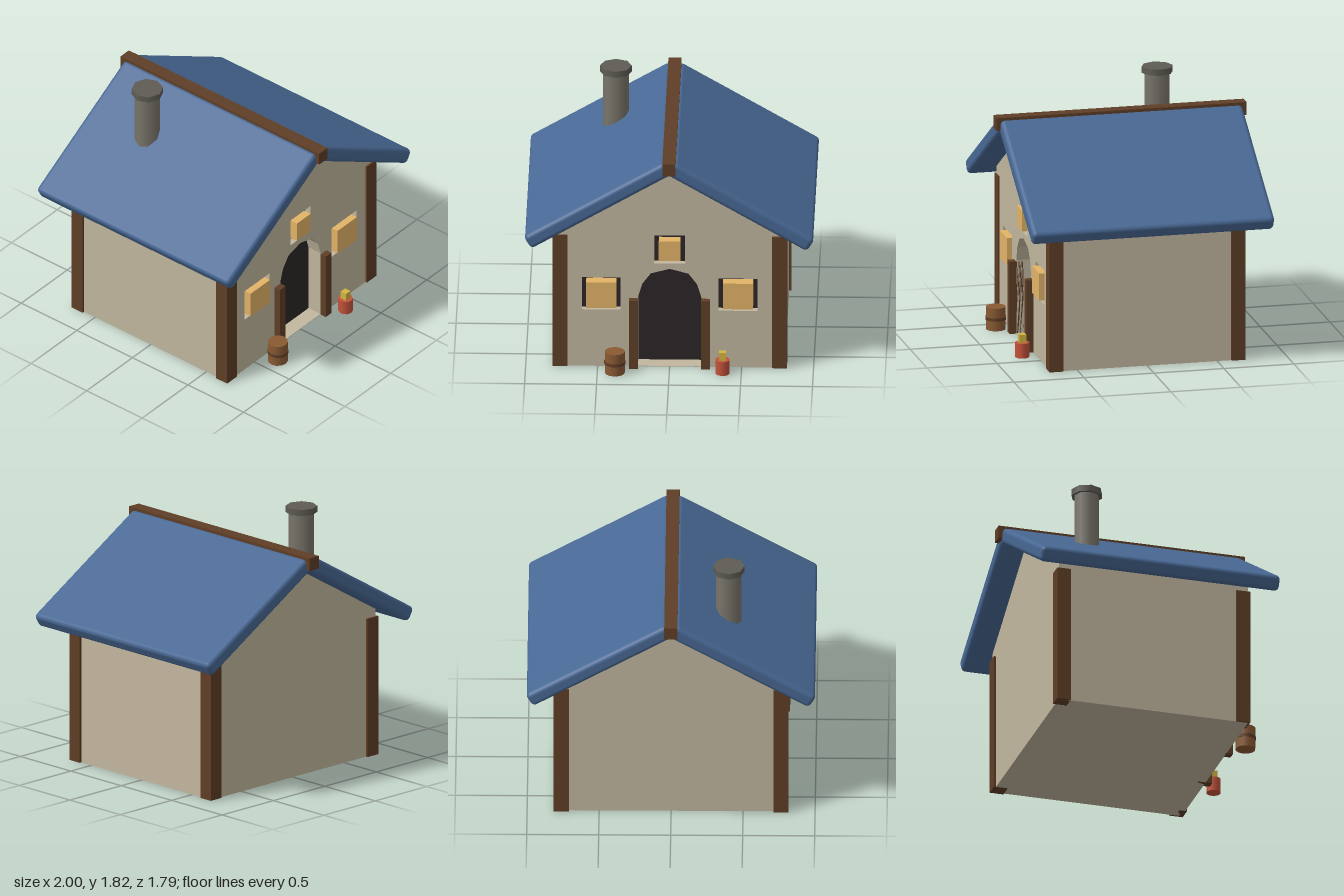
import * as THREE from 'three';
import { RoundedBoxGeometry } from 'three/addons/geometries/RoundedBoxGeometry.js';

const mat = (color, flatShading = false) => new THREE.MeshStandardMaterial({ color, flatShading });
const plaster = mat(0xc2b79f);
const timber = mat(0x5f3e26);
const roofBlue = mat(0x486894);
const dark = mat(0x2b2526);
const glow = mat(0xe3b467);
const stone = mat(0x79756b);
const capStone = mat(0x5f5c55);
const wood = mat(0x8a5a33);
const red = mat(0xc4523a);
const yellow = mat(0xd4b440);

export function createModel() {
  const house = new THREE.Group();
  house.name = 'house';

  const add = (name, geometry, material, x = 0, y = 0, z = 0) => {
    const mesh = new THREE.Mesh(geometry, material);
    mesh.name = name;
    mesh.position.set(x, y, z);
    house.add(mesh);
    return mesh;
  };
  // Box given by its limits on each axis
  const box = (name, material, [x0, x1], [y0, y1], [z0, z1]) =>
    add(name, new THREE.BoxGeometry(x1 - x0, y1 - y0, z1 - z0), material,
      (x0 + x1) / 2, (y0 + y1) / 2, (z0 + z1) / 2);
  const cylinder = (name, material, r, y0, y1, x, z, sides) =>
    add(name, new THREE.CylinderGeometry(r, r, y1 - y0, sides), material, x, (y0 + y1) / 2, z);
  const outline = (points, Type = THREE.Shape) =>
    new Type(points.map(([x, y]) => new THREE.Vector2(x, y)));
  const extrude = (shape, depth) =>
    new THREE.ExtrudeGeometry(shape, { depth, bevelEnabled: false });

  // Walls: solid body, with a front layer pierced by the door and windows
  const gable = [[-0.8, 0], [0.8, 0], [0.8, 1.07], [0, 1.54], [-0.8, 1.07]];
  const doorway = [[-0.22, 0.004], [0.22, 0.004], [0.22, 0.53], [0.19, 0.63], [0.13, 0.71],
    [0, 0.745], [-0.13, 0.71], [-0.19, 0.63], [-0.22, 0.53]];
  const wallBack = -0.685, recess = 0.575, wallFront = 0.688;
  const windows = [
    { x: -0.475, y: 0.553, w: 0.27, h: 0.245, pw: 0.21, ph: 0.195 },
    { x: 0.475, y: 0.553, w: 0.27, h: 0.245, pw: 0.21, ph: 0.195 },
    { x: 0, y: 0.893, w: 0.215, h: 0.215, pw: 0.15, ph: 0.15 },
  ];
  add('walls', extrude(outline(gable), recess - wallBack), plaster, 0, 0, wallBack);
  const front = outline(gable);
  front.holes.push(outline(doorway, THREE.Path));
  for (const { x, y, w, h } of windows) {
    const a = w / 2, b = h / 2;
    front.holes.push(outline([[x - a, y - b], [x + a, y - b], [x + a, y + b], [x - a, y + b]], THREE.Path));
  }
  add('frontWall', extrude(front, wallFront - recess), plaster, 0, 0, recess);

  // Door panel at the back of its recess
  add('door', new THREE.ShapeGeometry(outline(doorway)), dark, 0, 0, recess + 0.004);

  // Windows: dark backing in the recess, glowing pane standing proud
  for (const { x, y, w, h, pw, ph } of windows) {
    add('windowBacking', new THREE.BoxGeometry(w, h, 0.02), dark, x, y, 0.63);
    add('windowPane', new THREE.BoxGeometry(pw, ph, 0.08), glow, x, y, 0.678);
  }

  // Mirrored timbers and roof slopes
  const pitch = Math.atan(0.59), ridgeY = 1.5875;
  const x0 = 0.01, x1 = 0.985, mid = (x0 + x1) / 2;
  for (const s of [1, -1]) {
    const span = (a, b) => (s > 0 ? [a, b] : [-b, -a]);
    box('cornerPost', timber, span(0.71, 0.815), [0, 1.0], [0.6, 0.7]);
    box('cornerPost', timber, span(0.71, 0.815), [0, 1.0], [-0.7, -0.6]);
    box('doorPost', timber, span(0.22, 0.282), [0, 0.52], [0.635, 0.735]);
    const slope = add('roofSlope',
      new RoundedBoxGeometry((x1 - x0) / Math.cos(pitch), 0.108, 1.73, 3, 0.032),
      roofBlue, s * mid, ridgeY - mid * 0.59, 0);
    slope.rotation.z = -s * pitch;
  }
  box('ridgeBeam', timber, [-0.046, 0.046], [1.545, 1.637], [-0.894, 0.894]);

  // Chimney running up through the house
  cylinder('chimney', stone, 0.089, 0.003, 1.78, -0.398, -0.362, 8);
  cylinder('chimneyCap', capStone, 0.11, 1.77, 1.815, -0.398, -0.362, 8);

  // Barrel with its band
  cylinder('barrel', wood, 0.07, 0, 0.162, -0.378, 0.796, 12);
  cylinder('barrelBand', timber, 0.074, 0.07, 0.092, -0.378, 0.796, 12);

  // Lantern beside the door
  cylinder('lanternBase', red, 0.051, 0, 0.104, 0.37, 0.789, 10);
  box('lanternLight', yellow, [0.346, 0.394], [0.1, 0.163], [0.765, 0.813]);

  return house;
}
